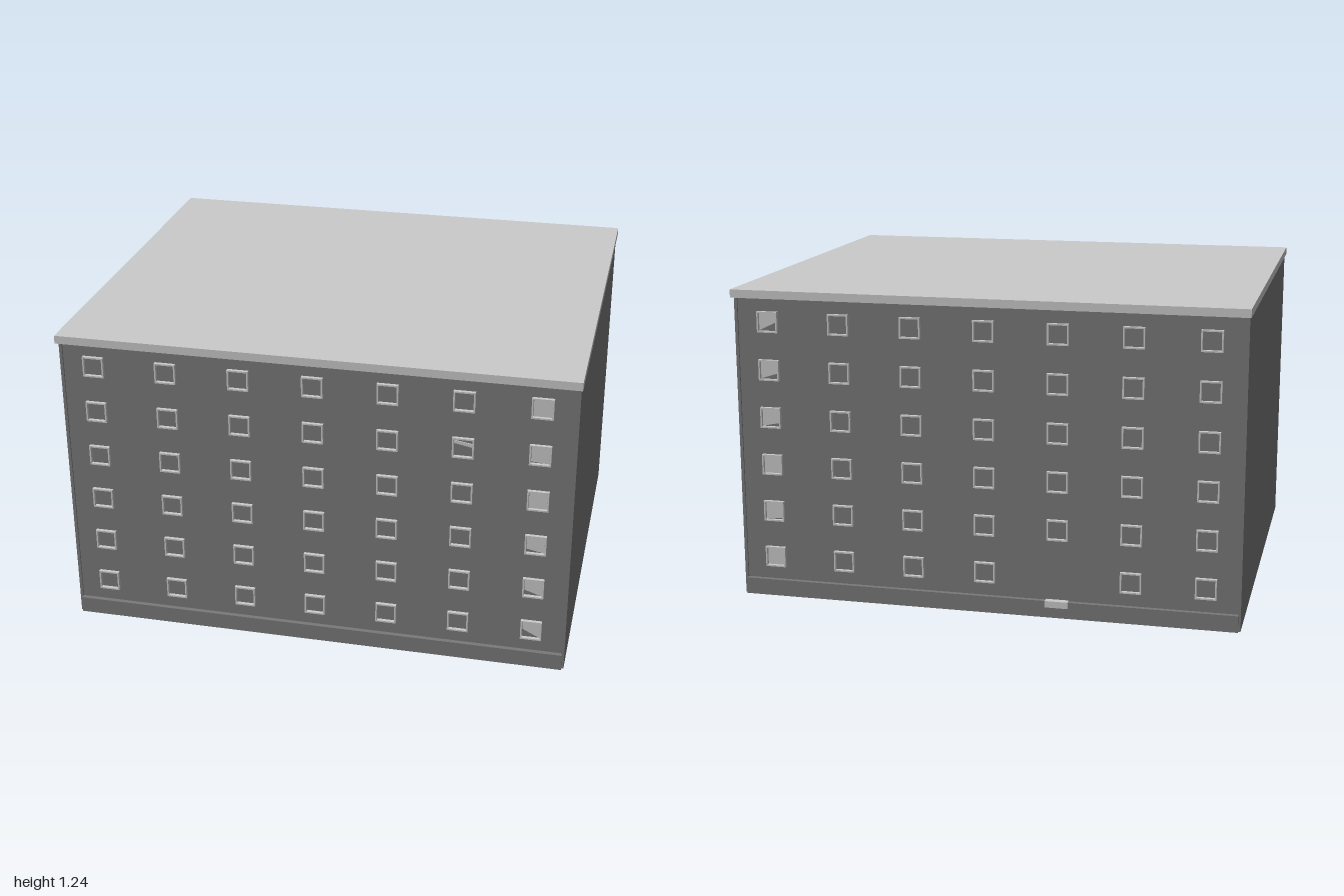
import * as THREE from 'three';

const light = new THREE.MeshStandardMaterial({ color: 0xcccccc });
const dark = new THREE.MeshStandardMaterial({ color: 0x7a7a7a });

const WALL = 0.818;   // face of the long walls
const HALF = 0.041;   // half size of a window
const INNER = 0.035;  // half size of the window opening
const columns = [-0.86, -0.573, -0.287, 0, 0.287, 0.573, 0.86];
const rows = [0.16, 0.35, 0.54, 0.73, 0.92, 1.11];

function box(name, size, position, material) {
  const mesh = new THREE.Mesh(new THREE.BoxGeometry(...size), material);
  mesh.name = name;
  mesh.position.set(...position);
  return mesh;
}

function polygon(points) {
  return new THREE.Shape(points.map(([x, y]) => new THREE.Vector2(x, y)));
}

function square(h) {
  return [[-h, -h], [h, -h], [h, h], [-h, h]];
}

function extrude(shape, depth) {
  return new THREE.ExtrudeGeometry(shape, { depth, bevelEnabled: false });
}

// Thin square frame standing slightly proud of the wall
const frameShape = polygon(square(HALF));
frameShape.holes.push(new THREE.Path(polygon(square(INNER)).getPoints().reverse()));
const frameGeometry = extrude(frameShape, 0.014);

// Light blind; cut is the part of the outer lower corner left open
function blind(cut, side) {
  const h = INNER - 0.001;
  const low = -h + 2 * h * cut;
  const inner = side > 0 ? low : -h;
  const outer = side > 0 ? -h : low;
  return new THREE.Mesh(extrude(polygon([[-h, inner], [h, outer], [h, h], [-h, h]]), 0.004), light);
}

function facade(side) {
  const group = new THREE.Group();
  group.name = side > 0 ? 'frontFacade' : 'backFacade';

  columns.forEach((worldX, c) => rows.forEach((y, r) => {
    const x = worldX * side;
    // the back has an entrance in place of one ground floor window
    if (side < 0 && c === 2 && r === 0) return;
    const frame = new THREE.Mesh(frameGeometry, light);
    frame.name = 'windowFrame';
    frame.position.set(x, y, WALL);
    group.add(frame);

    // blinds in the end column
    if (c === 6) {
      const cuts = [0.5, 0.32, 0.2, 0, 0.08, 0];
      const pane = blind(cuts[side > 0 ? r : 5 - r], side);
      pane.name = 'blind';
      pane.position.set(x, y, WALL);
      group.add(pane);
    }
  }));

  // plinth along the wall
  group.add(box('plinth', [1.97, 0.066, 0.018], [0, 0.033, WALL + 0.009], dark));

  if (side > 0) {
    // narrow raised blind in one window
    const strip = polygon([[-0.034, 0.016], [0.034, 0.003], [0.034, 0.016], [-0.034, 0.028]]);
    const mesh = new THREE.Mesh(extrude(strip, 0.005), light);
    mesh.name = 'raisedBlind';
    mesh.position.set(0.573, 0.92, WALL);
    group.add(mesh);
  } else {
    // low entrance sill set into the plinth
    group.add(box('entranceSill', [0.09, 0.026, 0.026], [0.287, 0.056, WALL + 0.013], light));
    group.rotation.y = Math.PI;
  }
  return group;
}

export function createModel() {
  const model = new THREE.Group();
  model.name = 'building';

  model.add(box('body', [1.97, 1.205, WALL * 2], [0, 0.6025, 0], dark));
  // end walls run slightly past the long walls
  for (const s of [1, -1]) {
    model.add(box(s > 0 ? 'leftEndWall' : 'rightEndWall', [0.012, 1.205, 1.648], [s * 0.988, 0.6025, 0], dark));
    model.add(facade(s));
  }
  model.add(box('roof', [2, 0.032, 1.694], [0, 1.22, 0], light));
  return model;
}
